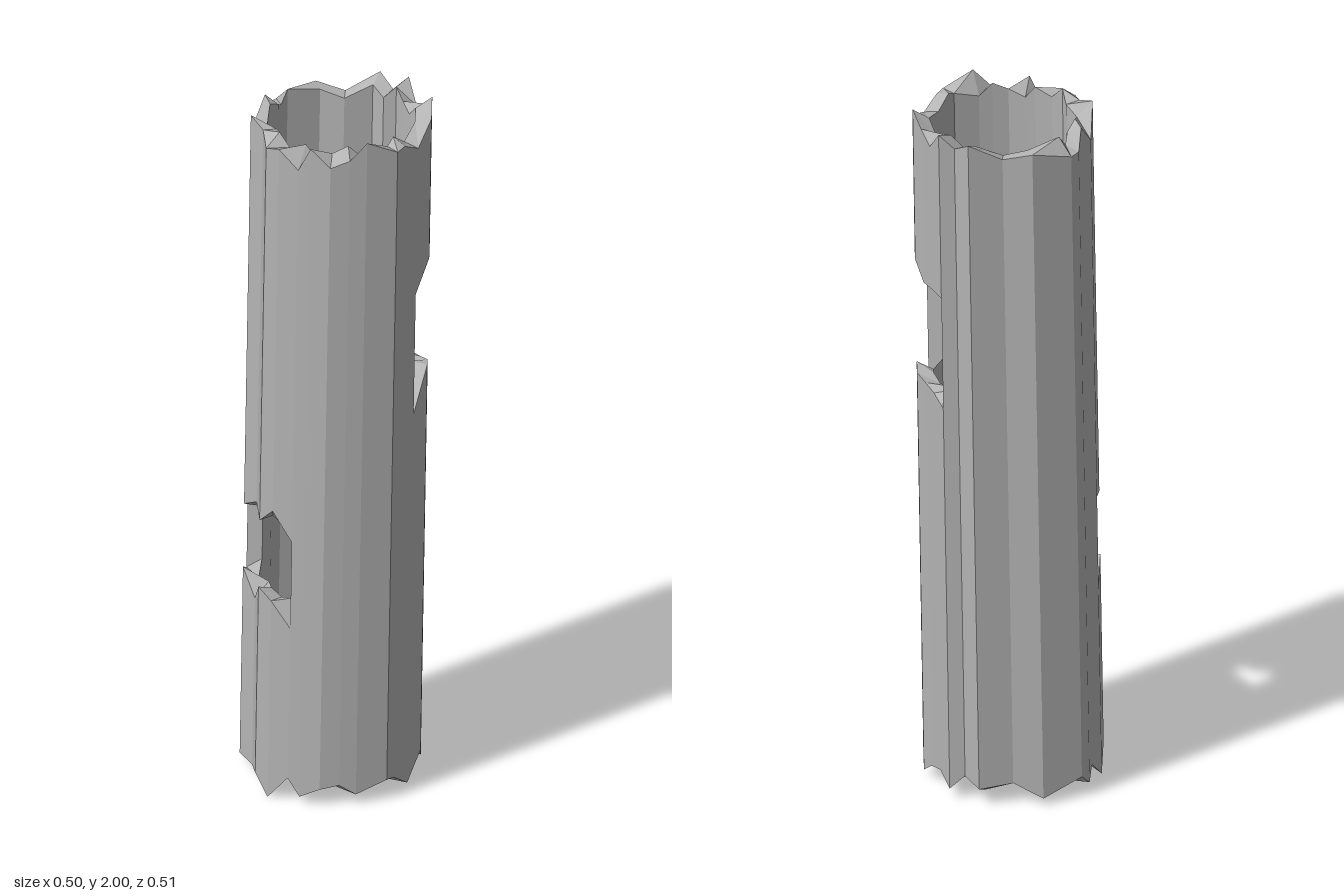
import * as THREE from 'three';

// Irregular outer cross-section of the trunk [x, z], from +x round through +z
const RING = [
  [0.239, 0.027], [0.198, 0.102], [0.17, 0.138], [0.136, 0.177], [0.086, 0.202],
  [0.055, 0.216], [0, 0.234], [-0.041, 0.24], [-0.093, 0.198], [-0.148, 0.188],
  [-0.204, 0.115], [-0.214, 0.065], [-0.238, 0.027], [-0.241, -0.007], [-0.195, -0.111],
  [-0.127, -0.154], [-0.07, -0.227], [-0.015, -0.22], [0.018, -0.245], [0.07, -0.222],
  [0.115, -0.205], [0.155, -0.192], [0.187, -0.157], [0.225, -0.067], [0.23, -0.01],
];
const N = RING.length;

// Splintered end heights of the outer wall, one per ring point
const TOP = [1.95, 1.99, 1.94, 1.92, 1.97, 1.9, 1.95, 1.94, 1.96, 1.98, 1.91, 1.97, 1.92,
  1.92, 1.95, 1.93, 1.98, 1.95, 1.99, 1.93, 1.96, 2.0, 1.96, 1.92, 1.95];
const BOTTOM = [0.06, 0.03, 0.06, 0.05, 0.02, 0.07, 0.0, 0.06, 0.05, 0.06, 0.01, 0.06, 0.03,
  0.06, 0.02, 0.06, 0.05, 0.07, 0.03, 0.06, 0.05, 0.02, 0.06, 0.01, 0.05];

// Broken openings: first ring point, then lower and upper edge heights
const HOLES = [
  { start: 5, low: [0.52, 0.59, 0.62, 0.55, 0.62, 0.57], high: [0.78, 0.86, 0.82, 0.84, 0.81, 0.84] },
  { start: 18, low: [1.17, 1.19, 1.2, 1.21, 1.22, 1.12], high: [1.5, 1.5, 1.5, 1.55, 1.54, 1.48] },
];

// Small repeatable offset for the inner edges
const jag = (i, k) => (((i * 7 + k * 5) % 11) / 10 - 0.5) * 0.05;

// Point on the outer (0) or inner (1) wall; the trunk leans slightly
function point(i, y, inner) {
  const [x, z] = RING[i % N];
  const s = inner ? 0.82 : 1;
  return [x * s + (y - 1) * 0.008, y, z * s - (y - 1) * 0.014];
}

// An edge is the pair of outer and inner points at one ring position
function edge(i, y, innerY) {
  return [point(i, y, 0), point(i, innerY, 1)];
}
const topEdge = (i) => edge(i, TOP[i % N], Math.min(1.98, 1.95 + jag(i % N, 1)));
const bottomEdge = (i) => edge(i, BOTTOM[i % N], 0.05 + jag(i % N, 2));
function holeEdge(hole, i, side) {
  const y = hole[side][i - hole.start];
  const base = hole[side].reduce((a, b) => a + b) / hole[side].length;
  const inset = side === 'low' ? 0.015 : -0.015;
  return edge(i, y, base + inset + jag(i, 3) * 0.5);
}

function buildWall() {
  const verts = [];
  const quad = (a, b, c, d) => verts.push(...a, ...b, ...c, ...a, ...c, ...d);

  // One closed piece of wall between ring points i and i + 1
  function panel(lowI, lowJ, highI, highJ) {
    quad(lowJ[0], lowI[0], highI[0], highJ[0]); // bark side
    quad(lowI[1], lowJ[1], highJ[1], highI[1]); // hollow side
    quad(highJ[0], highI[0], highI[1], highJ[1]); // upper rim
    quad(lowI[0], lowJ[0], lowJ[1], lowI[1]); // lower rim
  }

  for (let i = 0; i < N; i++) {
    const j = i + 1;
    const hole = HOLES.find((h) => i >= h.start && i < h.start + h.low.length - 1);
    if (hole) {
      panel(bottomEdge(i), bottomEdge(j), holeEdge(hole, i, 'low'), holeEdge(hole, j, 'low'));
      panel(holeEdge(hole, i, 'high'), holeEdge(hole, j, 'high'), topEdge(i), topEdge(j));
    } else {
      panel(bottomEdge(i), bottomEdge(j), topEdge(i), topEdge(j));
    }
  }

  // Upright sides of each opening
  for (const hole of HOLES) {
    const end = hole.start + hole.low.length - 1;
    let l = holeEdge(hole, hole.start, 'low'), h = holeEdge(hole, hole.start, 'high');
    quad(l[1], l[0], h[0], h[1]);
    l = holeEdge(hole, end, 'low');
    h = holeEdge(hole, end, 'high');
    quad(l[0], l[1], h[1], h[0]);
  }

  const geometry = new THREE.BufferGeometry();
  geometry.setAttribute('position', new THREE.Float32BufferAttribute(verts, 3));
  geometry.computeVertexNormals();
  return geometry;
}

export function createModel() {
  const group = new THREE.Group();
  group.name = 'hollowLog';
  const grey = new THREE.MeshStandardMaterial({ color: 0xb4b4b4, flatShading: true });
  grey.name = 'weathered grey';
  const trunk = new THREE.Mesh(buildWall(), grey);
  trunk.name = 'hollowTrunk';
  group.add(trunk);
  return group;
}
